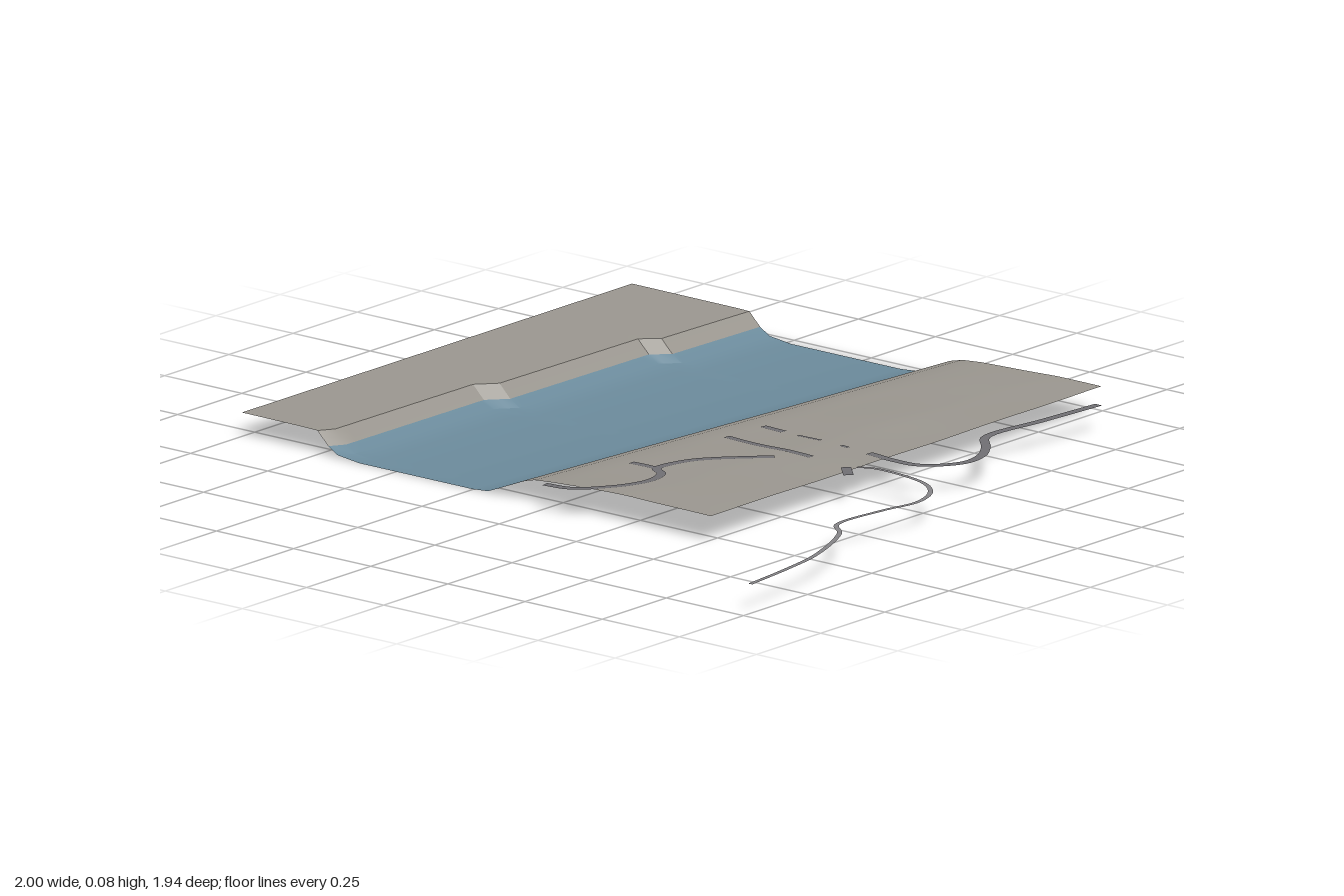
import * as THREE from 'three';
import { toCreasedNormals } from 'three/addons/utils/BufferGeometryUtils.js';

const BACK = -0.97, FRONT = 0.55, EAST = 0.52;

// Waterline on each side as [z, x]; the west shore moves in steps
const WEST_SHORE = [[-0.97, -0.585], [-0.64, -0.595], [-0.6, -0.638], [-0.07, -0.646],
  [-0.02, -0.69], [0.51, -0.695], [0.55, -0.72]];
const EAST_SHORE = [[-0.97, -0.05], [-0.4, -0.092], [0.16, -0.14], [0.55, -0.172]];

function sample(table, t) {
  for (let i = 1; i < table.length; i++) {
    const [t0, v0] = table[i - 1], [t1, v1] = table[i];
    if (t <= t1) return v0 + (v1 - v0) * Math.max(0, (t - t0) / (t1 - t0));
  }
  return table[table.length - 1][1];
}

// Height of the land east of the river: a rounded bank, then a gentle rise
function eastHeight(x, z) {
  const s = x - sample(EAST_SHORE, z);
  const y = sample([[0, 0.016], [0.04, 0.033], [0.08, 0.05], [0.12, 0.06], [0.18, 0.065],
    [0.42, 0.074], [0.7, 0.071]], s);
  const bump = 0.0015 * Math.sin(x * 13 + z * 5) * Math.sin(z * 9 - x * 4);
  return y + bump * THREE.MathUtils.smoothstep(s, 0.12, 0.25);
}

// Surface lofted through rows of points, facing up
function loft(rows) {
  const n = rows[0].length, index = [];
  for (let j = 0; j < rows.length - 1; j++) {
    for (let i = 0; i < n - 1; i++) {
      const a = j * n + i, b = a + n;
      index.push(a, b, a + 1, a + 1, b, b + 1);
    }
  }
  const g = new THREE.BufferGeometry();
  g.setAttribute('position', new THREE.Float32BufferAttribute(rows.flat(2), 3));
  g.setIndex(index);
  return toCreasedNormals(g, 0.5);
}

// Flat strip of road following the land
function ribbon(points, width) {
  const curve = new THREE.CatmullRomCurve3(
    points.map(([x, z]) => new THREE.Vector3(x, 0, z)), false, 'centripetal');
  const count = points.length * 6, rows = [];
  for (let i = 0; i <= count; i++) {
    const p = curve.getPoint(i / count), t = curve.getTangent(i / count);
    const row = [1, -1].map((side) => {
      const x = p.x - t.z * side * width / 2, z = p.z + t.x * side * width / 2;
      const inside = x < EAST && z < FRONT;
      return [x, inside ? eastHeight(x, z) + 0.002 : 0.073, z];
    });
    rows.push(row.reverse());
  }
  return loft(rows);
}

export function createModel() {
  const model = new THREE.Group();
  const material = (color) => new THREE.MeshStandardMaterial({ color, side: THREE.DoubleSide });
  const land = material(0x9a968f), water = material(0x6b8a9b);
  const darkRoad = material(0x706f73), paleRoad = material(0x858487);

  function add(name, geometry, mat, parent = model) {
    const mesh = new THREE.Mesh(geometry, mat);
    mesh.name = name;
    parent.add(mesh);
  }

  // Evenly spaced rows plus the places where the shore steps
  const zs = WEST_SHORE.map((p) => p[0]);
  for (let i = 1; i < 38; i++) {
    const z = BACK + (FRONT - BACK) * i / 38;
    if (zs.every((v) => Math.abs(v - z) > 0.008)) zs.push(z);
  }
  zs.sort((a, b) => a - b);

  // West bank: level ground with a steep edge
  add('westBank', loft(zs.map((z) => {
    const w = sample(WEST_SHORE, z);
    return [[-1, 0.062, z], [w - 0.08, 0.061, z], [w - 0.035, 0.06, z],
      [w - 0.018, 0.043, z], [w, 0.026, z]];
  })), land);

  // River: shallow trough between the two shores
  add('river', loft(zs.map((z) => {
    const w = sample(WEST_SHORE, z), e = sample(EAST_SHORE, z);
    return [[w, 0.026, z], [w + 0.03, 0.008, z], [w + 0.1, 0, z],
      [e - 0.08, 0, z], [e - 0.03, 0.004, z], [e, 0.016, z]];
  })), water);

  // East bank: rounded slope and softly uneven ground
  add('eastBank', loft(zs.map((z) => {
    const e = sample(EAST_SHORE, z);
    const xs = [0, 0.04, 0.08, 0.12, 0.18].map((s) => e + s);
    const start = xs[4];
    for (let i = 1; i <= 14; i++) xs.push(start + (EAST - start) * i / 14);
    return xs.map((x) => [x, eastHeight(x, z), z]);
  })), land);

  // Roads and paths, as [x, z] points
  const roads = new THREE.Group();
  roads.name = 'roads';
  model.add(roads);
  add('northRoad', ribbon([[0.62, -0.84], [0.605, -0.64], [0.59, -0.44], [0.65, -0.365],
    [0.69, -0.3], [0.7, -0.23], [0.67, -0.17], [0.62, -0.13], [0.56, -0.125], [0.465, -0.132]],
  0.024), darkRoad, roads);
  add('northRoadDashWest', ribbon([[0.09, -0.17], [0.165, -0.16]], 0.02), darkRoad, roads);
  add('northRoadDashMiddle', ribbon([[0.22, -0.15], [0.3, -0.142]], 0.01), darkRoad, roads);
  add('northRoadDashEast', ribbon([[0.37, -0.138], [0.395, -0.136]], 0.012), darkRoad, roads);
  add('middleRoad', ribbon([[0.08, -0.04], [0.2, -0.022], [0.38, -0.01]], 0.02), darkRoad, roads);
  add('crossingStub', ribbon([[0.5, 0], [0.55, 0.05]], 0.026), darkRoad, roads);
  add('eastPath', ribbon([[0.52, -0.02], [0.56, -0.038], [0.66, -0.035], [0.75, -0.01],
    [0.81, 0.045], [0.838, 0.13], [0.82, 0.24], [0.813, 0.41], [0.87, 0.47], [0.95, 0.66],
    [0.975, 0.8], [0.993, 0.965]], 0.013), paleRoad, roads);
  add('southRoad', ribbon([[0.31, 0.05], [0.2, 0.14], [0.155, 0.2], [0.137, 0.3], [0.18, 0.335],
    [0.2, 0.4], [0.18, 0.48], [0.13, 0.55], [0.09, 0.585], [0.02, 0.597]], 0.024), darkRoad, roads);
  add('southSpur', ribbon([[0.05, 0.295], [0.137, 0.3]], 0.02), darkRoad, roads);

  return model;
}
